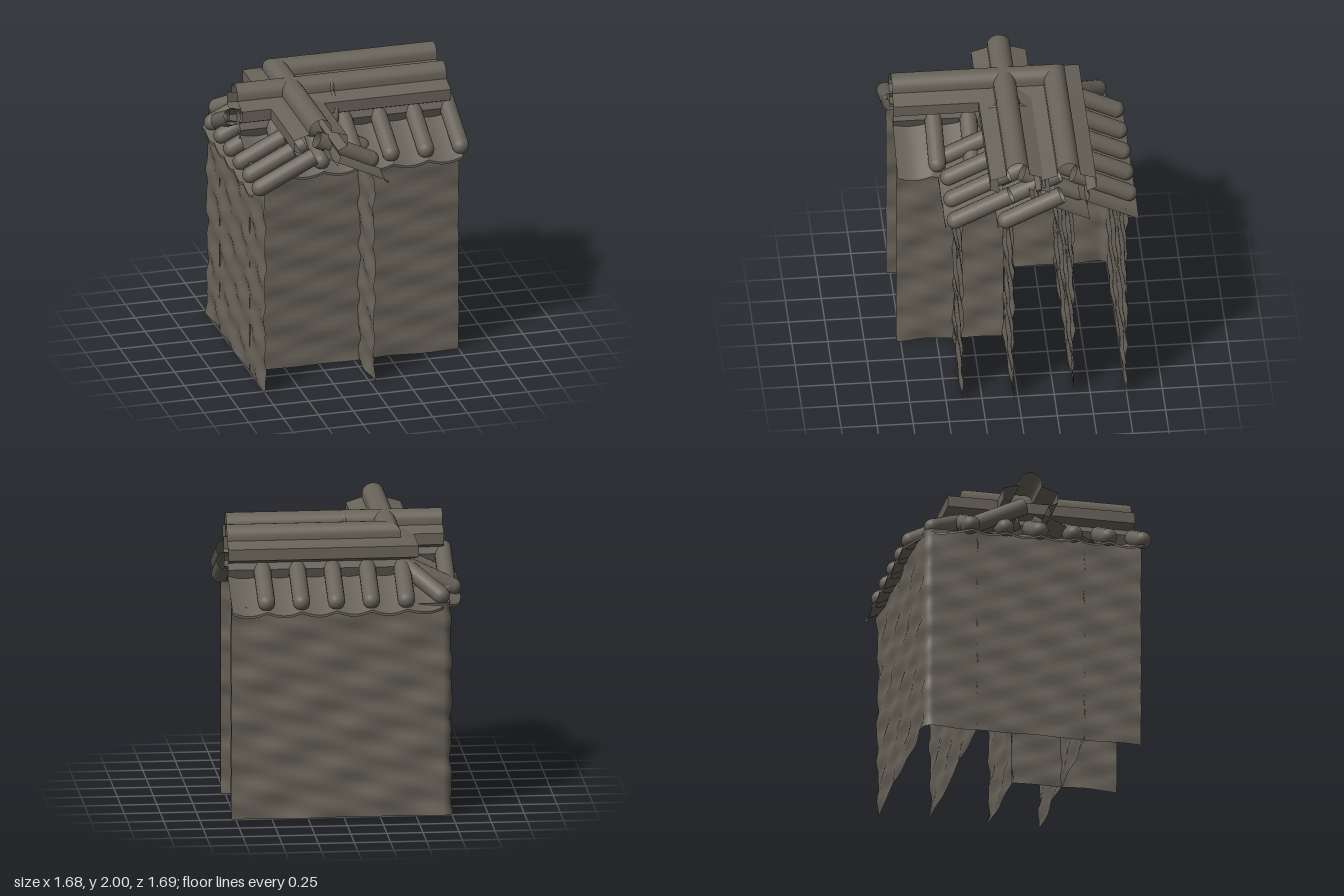
import * as THREE from 'three';
import { toCreasedNormals } from 'three/addons/utils/BufferGeometryUtils.js';

const stone = new THREE.MeshStandardMaterial({ color: 0x69645a, side: THREE.DoubleSide });
stone.name = 'weathered stone';

const AXIS = -0.35; // centre line of both corner legs
const END = 0.78;

// Sweeps a profile [offset, y] along plan stations { x, z, nx, nz, sag }
function sweep(path, profile, crease = 0, wobble = null) {
  const pos = [], index = [], m = profile.length;
  path.forEach((p, i) => profile.forEach(([d, y], j) => {
    const o = d + (wobble ? wobble(p, y) : 0);
    pos.push(p.x + p.nx * o, y - (p.sag || 0), p.z + p.nz * o);
    if (i && j) {
      const a = (i - 1) * m + j - 1, b = i * m + j - 1;
      index.push(a, a + 1, b, b, a + 1, b + 1);
    }
  }));
  const g = new THREE.BufferGeometry();
  g.setAttribute('position', new THREE.Float32BufferAttribute(pos, 3));
  g.setIndex(index);
  g.computeVertexNormals();
  return crease ? toCreasedNormals(g, crease) : g;
}

// Straight run of stations between two plan points
function run(x0, z0, x1, z1, nx, nz, steps, sag = () => 0) {
  return Array.from({ length: steps + 1 }, (_, i) => {
    const t = i / steps, x = x0 + (x1 - x0) * t, z = z0 + (z1 - z0) * t;
    return { x, z, nx, nz, sag: sag(nx ? z : x) };
  });
}

// Quarter fan of stations around the outer corner
function fan(c, steps, sag = () => 0) {
  return Array.from({ length: steps - 1 }, (_, i) => {
    const t = (i + 1) / steps, a = t * Math.PI / 2;
    return { x: c, z: c, nx: -Math.sin(a), nz: -Math.cos(a), sag: sag(t) };
  });
}

function add(group, name, geometry) {
  const mesh = new THREE.Mesh(geometry, stone);
  mesh.name = name;
  group.add(mesh);
  return mesh;
}

// Uneven hewn surface of the walls
const rough = (p, y) => {
  const s = p.x * 1.3 + p.z * 1.7;
  return 0.006 * Math.sin(23 * y + 5 * s) + 0.004 * Math.sin(41 * y - 9 * s + 1) + 0.004 * Math.sin(11 * s + 7 * y);
};
const wallProfile = Array.from({ length: 41 }, (_, i) => [0, i * 1.505 / 40]);
const wall = (group, name, path) => add(group, name, sweep(path, wallProfile, 0, rough));

// Ridge section: round cap, sloped shoulder, upright band, undercut and foot
const half = [[0.078, 1.9], [0.19, 1.865], [0.19, 1.785], [0.125, 1.755], [0.145, 1.71], [0.12, 1.64]];
const cap = Array.from({ length: 11 }, (_, i) => {
  const a = (i + 1) * Math.PI / 12;
  return [-0.08 * Math.cos(a), 1.92 + 0.08 * Math.sin(a)];
});
const ridgeProfile = [...half.map(([d, y]) => [-d, y]).reverse(), ...cap, ...half];

// Roof slope with a short lip at the eave; offsets start 0.08 from the ridge line
const slope = [[0, 1.69], [0.2, 1.592], [0.41, 1.49], [0.41, 1.473]];
const scallop = (start, step) => t => 0.028 * Math.abs(Math.sin(Math.PI * (t - start) / step));
const roof = (group, name, path) => add(group, name, sweep(path, slope, 0.6));

// Round cover tile with a domed lower end
const FROM = new THREE.Vector2(0.05, 1.735), TO = new THREE.Vector2(0.435, 1.545);
const tileLength = FROM.distanceTo(TO);
const tilePoints = [new THREE.Vector2(0.06, 0)];
for (let i = 0; i <= 6; i++) {
  const a = i * Math.PI / 12;
  tilePoints.push(new THREE.Vector2(0.06 * Math.cos(a), tileLength + 0.06 * Math.sin(a)));
}
const tileGeometry = new THREE.LatheGeometry(tilePoints, 18);
function tile(group, x, z, nx, nz) {
  const mesh = add(group, 'coverTile', tileGeometry);
  mesh.position.set(x + nx * FROM.x, FROM.y, z + nz * FROM.x);
  const run = TO.x - FROM.x;
  const dir = new THREE.Vector3(nx * run, TO.y - FROM.y, nz * run).normalize();
  mesh.quaternion.setFromUnitVectors(new THREE.Vector3(0, 1, 0), dir);
}

function cornerWall() {
  const g = new THREE.Group();
  g.name = 'cornerWall';

  // Outer face with a softened corner, and square inner face
  const o = -0.75, r = 0.06, k = o + r;
  const shift = p => ({ ...p, x: p.x + p.nx * r, z: p.z + p.nz * r });
  wall(g, 'outerFace', [...run(END, k, k, k, 0, -1, 36), ...fan(k, 6), ...run(k, k, k, END, -1, 0, 36)].map(shift));
  wall(g, 'innerFaceBack', run(END, 0.035, 0.035, 0.035, 0, 1, 24));
  wall(g, 'innerFaceSide', run(0.035, 0.035, 0.035, END, 1, 0, 24));

  // Mitred ridge
  add(g, 'ridge', sweep([
    { x: END, z: AXIS, nx: 0, nz: -1 },
    { x: AXIS, z: AXIS, nx: -1, nz: -1 },
    { x: AXIS, z: END, nx: -1, nz: 0 },
  ], ridgeProfile, 0.5));

  // Outer roof sweeping round the corner
  const c = AXIS - 0.08, step = 0.2425, sag = scallop(c, step);
  roof(g, 'outerRoof', [
    ...run(END, c, c, c, 0, -1, 60, sag),
    ...fan(c, 20, t => 0.028 * Math.abs(Math.sin(2 * Math.PI * t))),
    ...run(c, c, c, END, -1, 0, 60, sag),
  ]);

  // Inner roof, mitred along the valley
  const mitred = (alongX) => {
    const path = [], d = AXIS + 0.08;
    for (let i = 0; i <= 50; i++) {
      const t = d + (END - d) * i / 50, n = i ? 0 : 1;
      path.push(alongX ? { x: t, z: d, nx: n, nz: 1, sag: sag(t) } : { x: d, z: t, nx: 1, nz: n, sag: sag(t) });
    }
    // Keep every station outside the valley line
    const geo = sweep(path, slope, 0), p = geo.attributes.position;
    for (let i = 0; i < p.count; i++) {
      if (alongX) p.setX(i, Math.max(p.getX(i), p.getZ(i)));
      else p.setZ(i, Math.max(p.getZ(i), p.getX(i)));
    }
    geo.computeVertexNormals();
    return geo;
  };
  add(g, 'innerRoofBack', mitred(true));
  add(g, 'innerRoofSide', mitred(false));

  // Cover tiles
  for (let i = 0; i < 5; i++) tile(g, c + i * step, AXIS, 0, -1);
  for (let i = 0; i < 6; i++) tile(g, AXIS, c + i * step, -1, 0);
  for (let i = 0; i < 3; i++) tile(g, END - i * step, AXIS, 0, 1);
  for (let i = 0; i < 2; i++) tile(g, AXIS, 0.5 - i * step, 1, 0);
  const n = Math.SQRT1_2;
  tile(g, c + 0.08 * n, c + 0.08 * n, -n, -n);
  return g;
}

function straightWall() {
  const g = new THREE.Group();
  g.name = 'straightWall';
  for (const s of [1, -1]) {
    const side = s > 0 ? 'front' : 'back';
    wall(g, side + 'Face', run(-0.75, s * 0.385, 0.75, s * 0.385, 0, s, 44));
    roof(g, side + 'Roof', run(-0.75, s * 0.09, 0.75, s * 0.09, 0, s, 72, scallop(0, 0.25)));
    for (let i = 0; i < 6; i++) tile(g, s * (0.75 - i * 0.25), 0, 0, s);
  }
  add(g, 'ridge', sweep([
    { x: 0.75, z: 0, nx: 0, nz: -1 },
    { x: -0.75, z: 0, nx: 0, nz: -1 },
  ], ridgeProfile, 0.5));

  // Rounded joint collar over the ridge
  const collar = new THREE.SphereGeometry(1, 28, 18);
  const body = add(g, 'ridgeCollar', collar);
  body.position.set(-0.07, 1.77, 0);
  body.scale.set(0.042, 0.15, 0.208);
  const bead = add(g, 'ridgeBead', collar);
  bead.position.set(-0.07, 1.915, 0);
  bead.scale.set(0.03, 0.085, 0.087);
  return g;
}

export function createModel() {
  const model = new THREE.Group();
  model.name = 'tiledWallCorner';
  model.add(cornerWall(), straightWall());
  return model;
}
